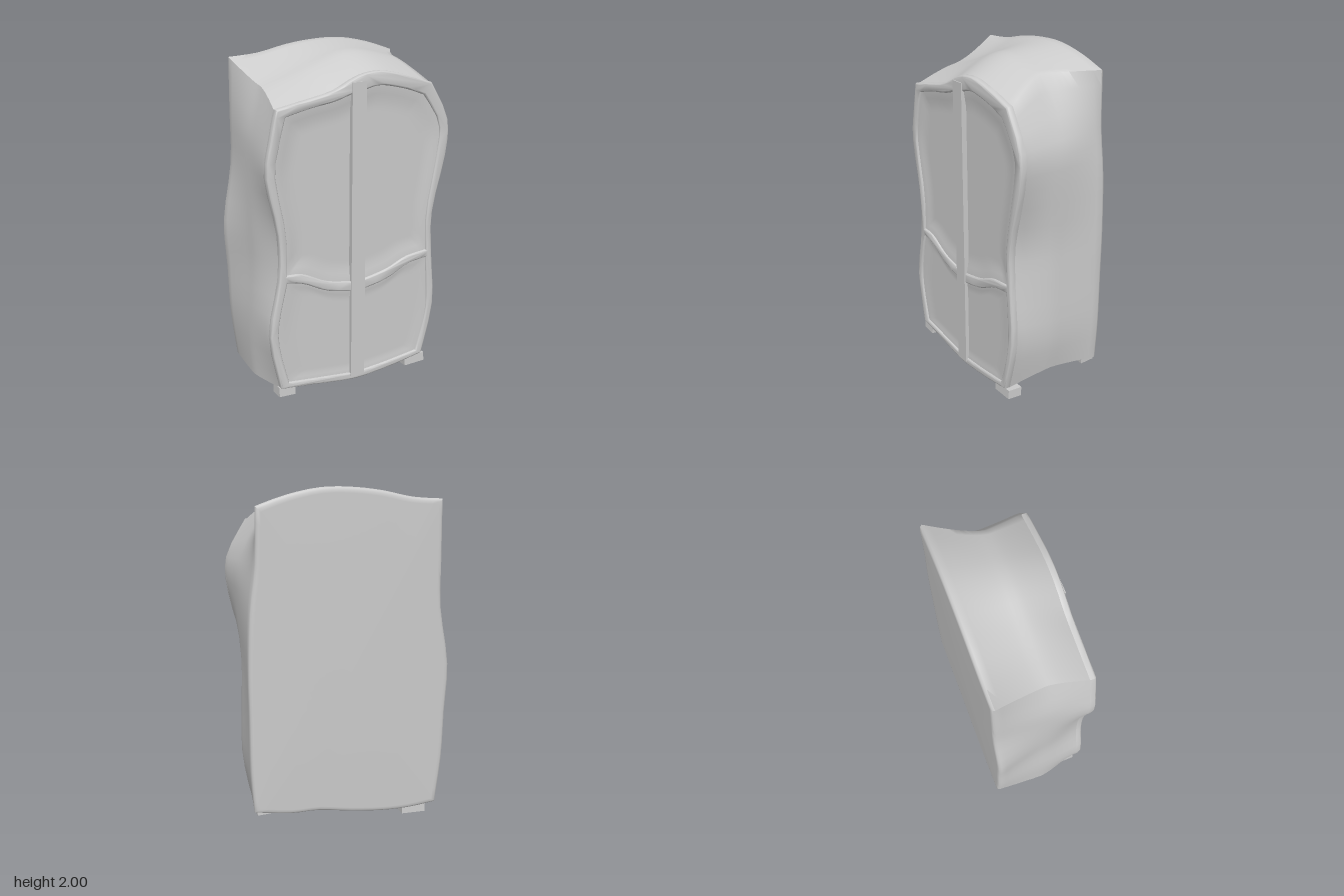
import * as THREE from 'three';
import { toCreasedNormals } from 'three/addons/utils/BufferGeometryUtils.js';

const STEPS = 18; // samples per outline edge
const CY = 0.95;  // height about which outlines are inset

// Smooth curve through [x, y] points
const sample = (pts, n = STEPS) =>
  new THREE.SplineCurve(pts.map(p => new THREE.Vector2(...p))).getPoints(n);

// Closed outline from four edges (bottom, right, top, left), counter-clockwise
const outline = edges => edges.flatMap(e => sample(e).slice(0, -1));

const FRONT = outline([
  [[-0.5, 0.06], [-0.3, 0.04], [-0.15, 0.02], [0, 0.008], [0.15, 0.02], [0.3, 0.04], [0.465, 0.07]],
  [[0.465, 0.07], [0.54, 0.4], [0.52, 0.73], [0.515, 1.0], [0.595, 1.34], [0.6, 1.56], [0.48, 1.78]],
  [[0.48, 1.78], [0.3, 1.835], [0.14, 1.865], [0, 1.845], [-0.15, 1.775], [-0.3, 1.74], [-0.5, 1.7]],
  [[-0.5, 1.7], [-0.535, 1.54], [-0.565, 1.33], [-0.5, 1.0], [-0.5, 0.73], [-0.56, 0.4], [-0.5, 0.06]],
]);
const MIDDLE = outline([
  [[-0.565, 0.06], [-0.37, 0.11], [-0.18, 0.16], [0, 0.19], [0.18, 0.2], [0.35, 0.19], [0.55, 0.17]],
  [[0.55, 0.17], [0.585, 0.4], [0.58, 0.73], [0.575, 1.0], [0.595, 1.34], [0.575, 1.58], [0.395, 1.9]],
  [[0.395, 1.9], [0.27, 1.935], [0.13, 1.96], [0, 1.95], [-0.15, 1.895], [-0.3, 1.84], [-0.475, 1.79]],
  [[-0.475, 1.79], [-0.54, 1.55], [-0.555, 1.33], [-0.555, 1.0], [-0.55, 0.73], [-0.575, 0.4], [-0.565, 0.06]],
]);
const BACK = outline([
  [[-0.55, 0.06], [-0.38, 0.045], [-0.2, 0.05], [0, 0.075], [0.2, 0.11], [0.38, 0.115], [0.585, 0.15]],
  [[0.585, 0.15], [0.6, 0.4], [0.6, 0.73], [0.6, 1.0], [0.585, 1.33], [0.55, 1.6], [0.54, 1.91]],
  [[0.54, 1.91], [0.37, 1.965], [0.18, 2], [0, 1.998], [-0.18, 1.975], [-0.36, 1.935], [-0.54, 1.92]],
  [[-0.54, 1.92], [-0.545, 1.6], [-0.55, 1.3], [-0.607, 0.95], [-0.595, 0.65], [-0.585, 0.35], [-0.55, 0.06]],
]);

const inset = (pts, d) => pts.map(p =>
  new THREE.Vector2(p.x * (1 - d / 0.57), CY + (p.y - CY) * (1 - d / CY)));
const shrink = (pts, c, s) => pts.map(p => p.clone().sub(c).multiplyScalar(s).add(c));
const CENTRE = new THREE.Vector2(0, CY);

// Outline at depth z, easing from the middle outline to the front or back one
const ZB = -0.282, ZM = 0.02, ZF = 0.25;
function sectionAt(z) {
  const end = z > ZM ? FRONT : BACK;
  const t = Math.pow((z - ZM) / ((z > ZM ? ZF : ZB) - ZM), 1.3);
  return MIDDLE.map((p, i) => p.clone().lerp(end[i], t));
}

// Skin over successive rings
function loft(rings) {
  const n = rings[0].pts.length, pos = [], idx = [];
  for (const { pts, z } of rings) for (const p of pts) pos.push(p.x, p.y, z);
  for (let i = 0; i < rings.length - 1; i++) for (let j = 0; j < n; j++) {
    const k = (j + 1) % n, a = i * n + j, b = i * n + k;
    idx.push(a, b, b + n, a, b + n, a + n);
  }
  const g = new THREE.BufferGeometry();
  g.setAttribute('position', new THREE.Float32BufferAttribute(pos, 3));
  g.setIndex(idx);
  return toCreasedNormals(g, 0.9);
}

// Door openings: three edges each, counter-clockwise, closed along the post
const DOORS = [
  { name: 'upperLeftDoor', depth: 0.014, pivot: [0.04, 1.2], edges: [
    [[0.04, 0.65], [0.2, 0.685], [0.33, 0.74], [0.475, 0.76]],
    [[0.475, 0.76], [0.472, 1.0], [0.535, 1.36], [0.54, 1.54], [0.43, 1.71]],
    [[0.43, 1.71], [0.3, 1.755], [0.14, 1.785], [0.04, 1.765]]] },
  { name: 'upperRightDoor', depth: 0.014, pivot: [-0.04, 1.2], edges: [
    [[-0.04, 1.75], [-0.15, 1.715], [-0.3, 1.69], [-0.445, 1.655]],
    [[-0.445, 1.655], [-0.485, 1.5], [-0.51, 1.33], [-0.452, 1.0], [-0.45, 0.76]],
    [[-0.45, 0.76], [-0.35, 0.75], [-0.2, 0.68], [-0.04, 0.65]]] },
  { name: 'lowerLeftDoor', depth: 0.006, pivot: [0.04, 0.32], edges: [
    [[0.04, 0.055], [0.2, 0.07], [0.42, 0.1]],
    [[0.42, 0.1], [0.49, 0.38], [0.475, 0.71]],
    [[0.475, 0.71], [0.35, 0.69], [0.2, 0.62], [0.04, 0.585]]] },
  { name: 'lowerRightDoor', depth: 0.006, pivot: [-0.04, 0.32], edges: [
    [[-0.04, 0.585], [-0.2, 0.62], [-0.35, 0.69], [-0.45, 0.71]],
    [[-0.45, 0.71], [-0.51, 0.4], [-0.45, 0.095]],
    [[-0.45, 0.095], [-0.25, 0.075], [-0.04, 0.055]]] },
];

export function createModel() {
  const group = new THREE.Group();
  const material = new THREE.MeshStandardMaterial({ color: 0xcccccc });
  const add = (name, geometry, x = 0, y = 0, z = 0) => {
    const mesh = new THREE.Mesh(geometry, material);
    mesh.name = name;
    mesh.position.set(x, y, z);
    group.add(mesh);
    return mesh;
  };

  // Warped cabinet shell with a flat back and rounded back rim
  const rings = [
    { pts: shrink(BACK, CENTRE, 0), z: -0.3 },
    { pts: inset(BACK, 0.03), z: -0.3 },
    { pts: inset(BACK, 0.015), z: -0.2995 },
    { pts: inset(BACK, 0.005), z: -0.294 },
  ];
  for (let i = 0; i <= 14; i++) {
    const z = THREE.MathUtils.lerp(ZB, ZF, i / 14);
    rings.push({ pts: sectionAt(z), z });
  }
  add('cabinetBody', loft(rings));

  // Rounded front frame pierced by the four doors
  const shape = new THREE.Shape(FRONT);
  for (const door of DOORS) {
    const pts = door.edges.flatMap((e, i) => sample(e, 10).slice(i ? 1 : 0));
    shape.holes.push(new THREE.Path(pts));

    // Dished door panel sloping in from the frame
    const pivot = new THREE.Vector2(...door.pivot);
    const levels = [[1.03, 0], [0.98, 0.1], [0.92, 0.5], [0.86, 0.85], [0.8, 1], [0.76, 1], [0, 1]];
    add(door.name, loft(levels.map(([s, d]) =>
      ({ pts: shrink(pts, pivot, s), z: 0.276 - door.depth * d }))));
  }
  const frame = new THREE.ExtrudeGeometry(shape, {
    depth: 0.024, bevelThickness: 0.014, bevelSize: 0.012, bevelOffset: -0.012, bevelSegments: 4,
  });
  add('doorFrame', toCreasedNormals(frame, 0.7), 0, 0, 0.249);

  // Centre post between the doors
  add('centrePost', new THREE.BoxGeometry(0.09, 1.78, 0.05), 0, 0.925, 0.268);

  // Small feet following the uneven base: x, y, z, width, tilt
  const feet = [
    ['frontLeftFoot', 0.42, 0.032, 0.23, 0.14, 0.04], ['frontRightFoot', -0.46, 0.032, 0.23, 0.1, -0.04],
    ['backLeftFoot', 0.52, 0.158, -0.245, 0.1, -0.05], ['backRightFoot', -0.41, 0.032, -0.245, 0.15, 0.03],
  ];
  for (const [name, x, y, z, width, tilt] of feet) {
    const foot = add(name, new THREE.BoxGeometry(width, 0.055, 0.09), x, y, z);
    foot.rotation.set(z > 0 ? -0.06 : 0.06, 0, tilt);
  }
  return group;
}
